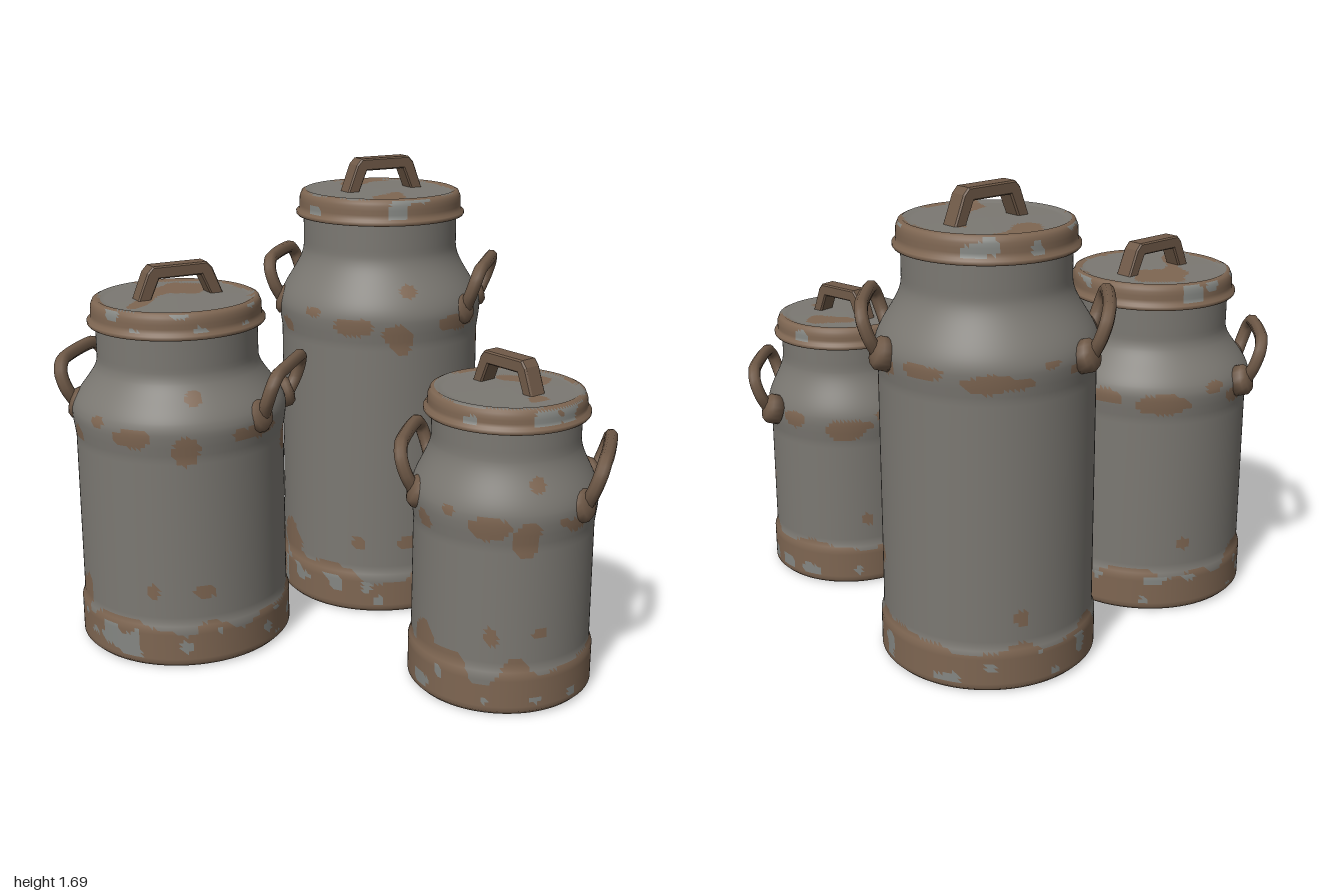
import * as THREE from 'three';

const mat = (name, color) => Object.assign(new THREE.MeshStandardMaterial({ color }), { name });

// Seeded 3D value noise in -1..1
function hash(x, y, z) {
  let h = Math.imul(x, 374761393) ^ Math.imul(y, 668265263) ^ Math.imul(z, 2147483647 - 1274126177);
  h = Math.imul(h ^ (h >>> 13), 1274126177);
  h = Math.imul(h ^ (h >>> 16), 974711);
  return ((h ^ (h >>> 15)) >>> 0) / 2147483648 - 1;
}
function noise(p, scale, seed = 0) {
  const c = [p.x * scale + seed, p.y * scale + seed, p.z * scale + seed];
  const i = c.map(Math.floor);
  const f = c.map((v, k) => { const t = v - i[k]; return t * t * (3 - 2 * t); });
  let sum = 0;
  for (let k = 0; k < 8; k++) {
    const b = [k & 1, (k >> 1) & 1, k >> 2];
    const w = b.reduce((a, on, j) => a * (on ? f[j] : 1 - f[j]), 1);
    sum += w * hash(i[0] + b[0], i[1] + b[1], i[2] + b[2]);
  }
  return sum;
}

// Finely divided lathe whose triangles are sorted into colour groups by a rule
function paintedLathe(profile, rule) {
  const pts = [];
  profile.forEach(([r, y], i) => {
    const a = new THREE.Vector2(r, y);
    if (i) {
      const prev = new THREE.Vector2(...profile[i - 1]);
      const n = Math.ceil(prev.distanceTo(a) / 0.017);
      for (let k = 1; k < n; k++) pts.push(prev.clone().lerp(a, k / n));
    }
    pts.push(a);
  });
  const geo = new THREE.LatheGeometry(pts, 136);
  const idx = geo.index.array, pos = geo.attributes.position;
  const buckets = [[], [], []];
  const c = new THREE.Vector3(), v = new THREE.Vector3();
  for (let i = 0; i < idx.length; i += 3) {
    c.set(0, 0, 0);
    for (let k = 0; k < 3; k++) c.add(v.fromBufferAttribute(pos, idx[i + k]));
    buckets[rule(c.divideScalar(3))].push(idx[i], idx[i + 1], idx[i + 2]);
  }
  geo.setIndex(buckets.flat());
  let start = 0;
  buckets.forEach((b, m) => { geo.addGroup(start, b.length, m); start += b.length; });
  return geo;
}

// Rust spots: angle, height, half width (degrees), half height
const shoulderSpots = [[-3, 0, 12, 0.035], [23, -0.04, 8, 0.05], [30, 0.13, 5, 0.025], [62, 0, 17, 0.03],
  [97, -0.1, 6, 0.05], [118, 0, 15, 0.03], [150, 0.02, 12, 0.03], [185, -0.01, 18, 0.035], [215, 0.04, 6, 0.02],
  [240, 0, 14, 0.03], [275, 0, 16, 0.035], [310, -0.03, 8, 0.03], [333, 0.04, 4, 0.015]];
const lowSpots = [[3, 0.28, 4, 0.03], [32, 0.28, 6, 0.025], [-50, 0.21, 11, 0.07],
  [105, 0.38, 5, 0.03], [200, 0.27, 4, 0.025], [265, 0.32, 4, 0.025]];

function createCan(can, m) {
  const { R, s, neck, neckY, lidY, top } = can;
  const g = new THREE.Group();
  g.name = can.name;
  g.position.set(can.x, 0, can.z);
  const add = (geo, material, name, parent = g) => {
    const mesh = new THREE.Mesh(geo, material);
    mesh.name = name;
    parent.add(mesh);
    return mesh;
  };
  const paints = [m.steel, m.rust, m.pale];
  const spots = [...shoulderSpots.map(([a, y, w, h]) => [a, y + s - 0.02, w, h]), ...lowSpots];

  // Body: base band, wall, curved shoulder, neck
  const profile = [[0, 0], [R - 0.015, 0], [R, 0.015], [R, 0.14], [R - 0.01, 0.17],
    [R - 0.012, s - 0.09], [R - 0.004, s - 0.03]];
  for (let i = 0; i <= 12; i++) {
    const t = i / 12;
    profile.push([R - 0.002 + (neck - R + 0.002) * t * t * (3 - 2 * t), s + (neckY - s) * t]);
  }
  profile.push([neck, lidY + 0.01]);
  const bodyRule = (p) => {
    if (p.y < 0.003) return noise(p, 9, can.seed) > 0.6 ? 2 : 1;
    if (p.y < 0.155 + 0.055 * noise(p, 10, can.seed)) {
      return p.y > 0.035 && p.y < 0.14 && noise(p, 17, can.seed + 7) > 0.42 ? 2 : 1;
    }
    const deg = THREE.MathUtils.radToDeg(Math.atan2(p.x, p.z));
    const limit = 1 + 0.9 * noise(p, 16, can.seed);
    return spots.some(([a, y, w, h]) => {
      const d = ((deg - a + 900) % 360) - 180;
      return (d / w) ** 2 + ((p.y - y) / h) ** 2 < limit;
    }) ? 1 : 0;
  };
  add(paintedLathe(profile, bodyRule), paints, 'body');

  // Lid with a flange and a raised rim
  const f = neck + 0.028;
  const lid = [[neck - 0.01, lidY], [f - 0.004, lidY], [f, lidY + 0.005], [f, lidY + 0.015], [f - 0.012, lidY + 0.022],
    [f - 0.014, top - 0.025], [f - 0.022, top - 0.006], [f - 0.035, top], [f - 0.05, top - 0.007], [0, top - 0.004]];
  const lidRule = (p) => {
    const r = Math.hypot(p.x, p.z) / f;
    if (p.y > top - 0.01 && r < 0.93) {
      return r > 0.87 + 0.07 * noise(p, 8, can.seed + 3) || noise(p, 9, can.seed + 5) > 0.42 ? 1 : 0;
    }
    return p.y > lidY + 0.022 && noise(p, 13, can.seed + 11) > 0.38 ? 2 : 1;
  };
  add(paintedLathe(lid, lidRule), paints, 'lid');

  // Strap grip on the lid
  const k = can.grip, h = can.gripHeight;
  const strap = new THREE.Shape([[-k, -0.01], [-k * 0.74, h - 0.02], [-k * 0.62, h], [k * 0.62, h], [k * 0.74, h - 0.02],
    [k, -0.01], [k * 0.76, -0.01], [k * 0.52, h - 0.035], [-k * 0.52, h - 0.035], [-k * 0.76, -0.01]]
    .map(([x, y]) => new THREE.Vector2(x, y)));
  const gripGeo = new THREE.ExtrudeGeometry(strap, { depth: 0.056, bevelSize: 0.005, bevelThickness: 0.006, bevelSegments: 1 });
  gripGeo.translate(0, -0.005, -0.028);
  const grip = add(gripGeo, m.handle, 'lidGrip');
  grip.position.set(0, top, can.gripZ);
  grip.rotation.y = can.gripTurn;

  // Carrying handles, one per side, leaning outwards
  const w = can.handleHalf, y0 = s + 0.02;
  for (const side of [1, -1]) {
    const handle = new THREE.Group();
    handle.name = side > 0 ? 'leftHandle' : 'rightHandle';
    handle.position.z = -0.035;
    g.add(handle);
    const half = [[R - 0.03, y0, w - 0.01], [R - 0.008, y0 + 0.055, w + 0.012], [R + 0.01, y0 + 0.11, w + 0.008],
      [R + 0.018, y0 + 0.14, w - 0.025], [R + 0.022, y0 + 0.146, w - 0.075]];
    const path = [...half, ...half.map(([x, y, z]) => [x, y, -z]).reverse()]
      .map(([x, y, z]) => new THREE.Vector3(x * side, y, z));
    add(new THREE.TubeGeometry(new THREE.CatmullRomCurve3(path), 40, 0.024, 8), m.handle, 'handleBar', handle);
    for (const end of [1, -1]) {
      const z = end * (w - 0.005);
      const out = new THREE.Vector3(side * 0.9, 0.3, end * 0.38).normalize();
      const turn = new THREE.Quaternion().setFromUnitVectors(new THREE.Vector3(0, 1, 0), out);
      const lug = new THREE.LatheGeometry([[0, -0.035], [0.058, -0.035], [0.058, 0.008], [0.045, 0.024], [0.02, 0.03], [0, 0.031]]
        .map(([r, y]) => new THREE.Vector2(r, y)), 16);
      const mesh = add(lug, m.handle, 'handleLug', handle);
      mesh.quaternion.copy(turn);
      mesh.position.set(side * (R - 0.045), y0 - 0.005, z);
    }
  }
  return g;
}

export function createModel() {
  const m = {
    steel: mat('grey steel', 0x7b7872),
    rust: mat('rust', 0x7e6652),
    pale: mat('pale worn steel', 0x848682),
    handle: mat('dark rusty iron', 0x705a48),
  };
  const model = new THREE.Group();
  model.name = 'milkCans';
  const cans = [
    { name: 'tallCan', x: 0.02, z: -0.325, R: 0.388, s: 1.14, neck: 0.29, neckY: 1.37, lidY: 1.48, top: 1.575,
      grip: 0.16, gripHeight: 0.115, gripZ: -0.02, gripTurn: 0.76, handleHalf: 0.165, seed: 20.3 },
    { name: 'mediumCan', x: -0.58, z: 0.285, R: 0.385, s: 0.86, neck: 0.287, neckY: 1.05, lidY: 1.17, top: 1.262,
      grip: 0.16, gripHeight: 0.11, gripZ: -0.02, gripTurn: 0.76, handleHalf: 0.165, seed: 41.7 },
    { name: 'smallCan', x: 0.62, z: 0.4, R: 0.318, s: 0.68, neck: 0.25, neckY: 0.88, lidY: 0.96, top: 1.042,
      grip: 0.135, gripHeight: 0.105, gripZ: -0.02, gripTurn: -0.64, handleHalf: 0.165, seed: 63.1 },
  ];
  for (const can of cans) model.add(createCan(can, m));
  return model;
}
